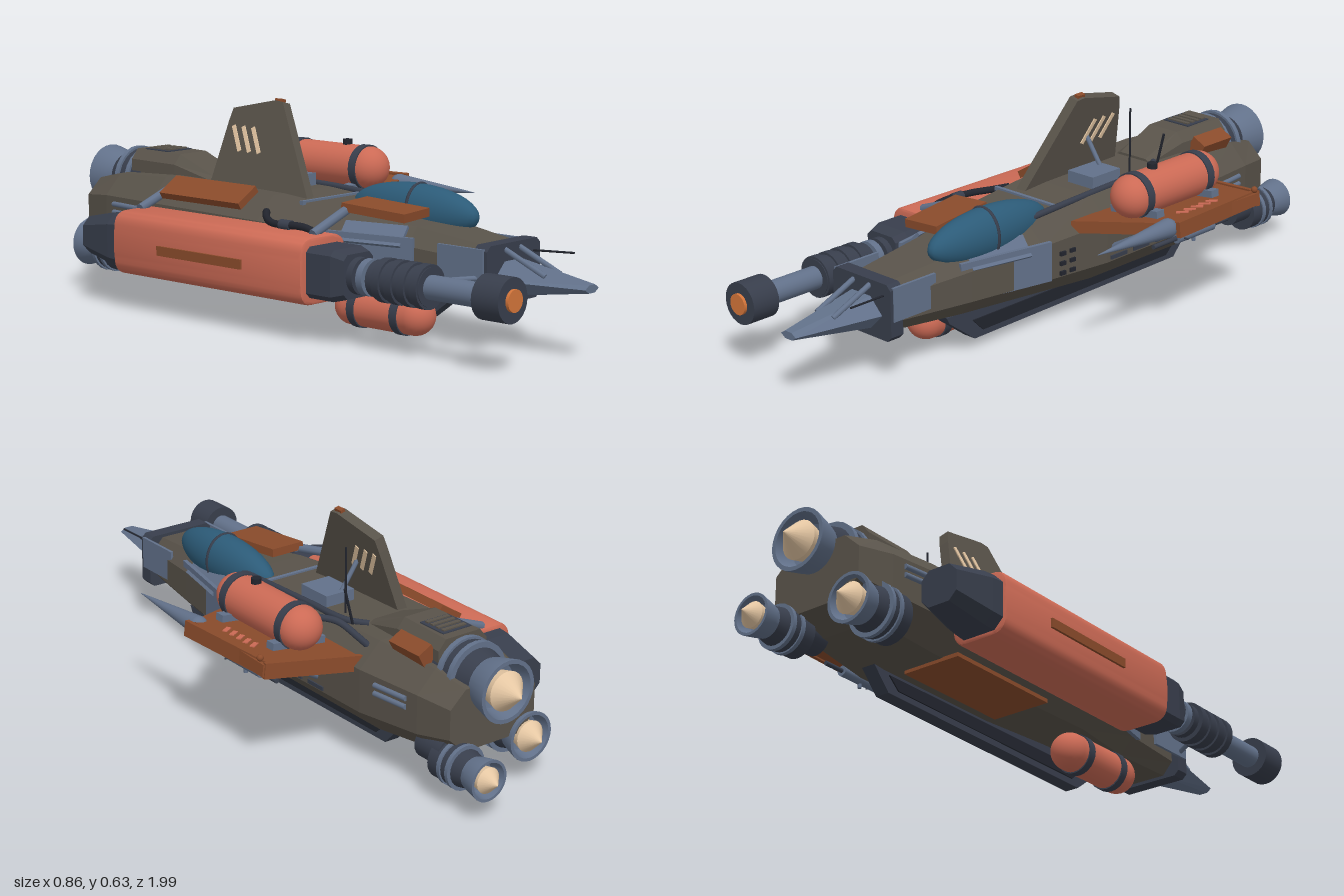
import * as THREE from 'three';
import { toCreasedNormals } from 'three/addons/utils/BufferGeometryUtils.js';

const paint = (name, color) => Object.assign(new THREE.MeshStandardMaterial({ color }), { name });
const olive = paint('olive grey hull', 0x59534a);
const rust = paint('rust brown', 0x8a4b2b);
const salmon = paint('salmon red', 0xcc6a55);
const steel = paint('blue steel', 0x62718a);
const dark = paint('dark slate', 0x383e4c);
const black = paint('near black', 0x22252e);
const glass = paint('canopy teal', 0x2c5b78);
const cream = paint('warm cream', 0xe6c8a4);
const orange = paint('muzzle orange', 0xd4753a);

const V = (p) => new THREE.Vector3(...p);

function add(parent, name, geo, mat, pos = [0, 0, 0], rot = [0, 0, 0]) {
  const m = new THREE.Mesh(geo, mat);
  m.name = name;
  m.position.set(...pos);
  m.rotation.set(...rot);
  parent.add(m);
  return m;
}
const box = (g, name, mat, size, pos, rot) => add(g, name, new THREE.BoxGeometry(...size), mat, pos, rot);

// Cylinder lying along z; rFront is the radius at the +z end
const drum = (g, name, mat, x, y, z0, z1, rFront, rBack = rFront, seg = 24) =>
  add(g, name, new THREE.CylinderGeometry(rFront, rBack, Math.abs(z0 - z1), seg).rotateX(Math.PI / 2),
    mat, [x, y, (z0 + z1) / 2]);

function rod(g, name, mat, a, b, r, seg = 8) {
  const d = V(b).sub(V(a));
  const m = add(g, name, new THREE.CylinderGeometry(r, r, d.length(), seg), mat, V(a).add(V(b)).multiplyScalar(0.5).toArray());
  m.quaternion.setFromUnitVectors(new THREE.Vector3(0, 1, 0), d.normalize());
}
const hose = (g, name, mat, pts, r) =>
  add(g, name, new THREE.TubeGeometry(new THREE.CatmullRomCurve3(pts.map(V)), 24, r, 8), mat);

// Chamfered rectangle section at z: half sizes, chamfer across (d) and down (c)
function oct(cx, cy, hw, hh, d, c, z) {
  return [[hw, c - hh], [hw, hh - c], [hw - d, hh], [d - hw, hh], [-hw, hh - c], [-hw, c - hh], [d - hw, -hh], [hw - d, -hh]]
    .map(([x, y]) => [cx + x, cy + y, z]);
}

// Flat faceted skin over sections ordered from front to back, capped at both ends
function loft(sections) {
  const pos = [], n = sections[0].length, tri = (...p) => p.forEach((q) => pos.push(...q));
  for (let i = 0; i < sections.length - 1; i++)
    for (let j = 0; j < n; j++) {
      const k = (j + 1) % n, s = sections[i], t = sections[i + 1];
      tri(s[j], t[j], t[k]);
      tri(s[j], t[k], s[k]);
    }
  const f = sections[0], b = sections[sections.length - 1];
  for (let j = 1; j < n - 1; j++) { tri(f[0], f[j], f[j + 1]); tri(b[0], b[j + 1], b[j]); }
  const geo = new THREE.BufferGeometry();
  geo.setAttribute('position', new THREE.Float32BufferAttribute(pos, 3));
  geo.computeVertexNormals();
  return geo;
}

const plate = (pts, depth) => new THREE.ExtrudeGeometry(new THREE.Shape(pts.map((p) => new THREE.Vector2(...p))), { depth, bevelEnabled: false });
// Plate from a (z, y) outline, thickness centred on x
const sidePlate = (pts, t) => plate(pts, t).translate(0, 0, -t / 2).rotateY(-Math.PI / 2);

function capsule(g, name, x, y, zFront, zBack, r, straps) {
  const len = zFront - zBack;
  add(g, name, new THREE.CapsuleGeometry(r, len - 2 * r, 10, 28).rotateX(Math.PI / 2), salmon, [x, y, (zFront + zBack) / 2]);
  for (const z of straps) drum(g, name + 'Strap', dark, x, y, z + 0.013, z - 0.013, r + 0.004);
}

// Collar, ring, flared bell and plug cone
function engine(parent, x, y, z, r, len) {
  const g = new THREE.Group();
  g.name = 'engine';
  g.position.set(x, y, z);
  parent.add(g);
  drum(g, 'engineCollar', dark, 0, 0, 0.03, -len * 0.35, r * 0.93);
  for (const k of [0.08, 0.3]) drum(g, 'engineBand', steel, 0, 0, -len * k, -len * (k + 0.08), r);
  drum(g, 'engineThroat', dark, 0, 0, -len * 0.35, -len * 0.6, r * 0.85, r * 0.72);
  const profile = [[0.68, 0.55], [0.78, 0.7], [0.92, 0.98], [0.92, 1], [0.8, 1], [0.66, 0.72], [0.01, 0.6]]
    .map(([a, b]) => new THREE.Vector2(a * r, b * len));
  const bell = new THREE.LatheGeometry(profile, 28).rotateX(-Math.PI / 2);
  add(g, 'engineBell', toCreasedNormals(bell, 0.6), bellMat);
  drum(g, 'exhaustPlug', cream, 0, 0, -len * 0.6, -len * 0.97, r * 0.4, r * 0.58);
  drum(g, 'exhaustTip', cream, 0, 0, -len * 0.97, -len * 0.97 - r * 0.6, r * 0.58, 0.001);
}
const bellMat = paint('bell steel', 0x62718a);
bellMat.side = THREE.DoubleSide;

export function createModel() {
  const g = new THREE.Group();
  g.name = 'spacecraft';

  // Main hull: [z, centre x, half width, bottom, top]
  const stations = [[0.71, -0.05, 0.095, 0.14, 0.285], [0.45, -0.04, 0.13, 0.125, 0.315], [0.2, -0.05, 0.18, 0.115, 0.34],
    [-0.05, -0.05, 0.2, 0.1, 0.36], [-0.5, -0.05, 0.2, 0.1, 0.37], [-0.72, -0.05, 0.175, 0.12, 0.36], [-0.83, -0.05, 0.15, 0.15, 0.335]];
  add(g, 'hull', loft(stations.map(([z, x, w, b, t]) => oct(x, (b + t) / 2, w, (t - b) / 2, w * 0.35, (t - b) * 0.26, z))), olive);
  add(g, 'engineHousing', loft([oct(-0.045, 0.36, 0.07, 0.015, 0.02, 0.01, -0.38), oct(-0.045, 0.37, 0.08, 0.06, 0.025, 0.03, -0.52),
    oct(-0.04, 0.36, 0.085, 0.072, 0.025, 0.03, -0.71)]), olive);
  box(g, 'housingHatch', dark, [0.1, 0.006, 0.1], [-0.045, 0.431, -0.63]);
  for (let i = 0; i < 4; i++) box(g, 'hatchLouvre', olive, [0.08, 0.008, 0.013], [-0.045, 0.434, -0.595 - i * 0.023]);

  // Nose bulkhead, wedge and braces
  add(g, 'noseBulkhead', loft([oct(-0.053, 0.213, 0.117, 0.084, 0.015, 0.015, 0.735), oct(-0.053, 0.213, 0.117, 0.084, 0.015, 0.015, 0.69)]), dark);
  const wedge = (w, h, z) => [[w, 0], [w * 0.45, h], [-w * 0.45, h], [-w, 0], [-w * 0.45, -h], [w * 0.45, -h]].map(([x, y]) => [x - 0.055, 0.2 + y, z]);
  add(g, 'noseWedge', loft([wedge(0.03, 0.011, 1), wedge(0.085, 0.048, 0.73)]), steel);
  for (const x of [-0.087, -0.022]) rod(g, 'noseBrace', steel, [x, 0.28, 0.73], [x, 0.22, 0.87], 0.008);
  rod(g, 'noseProbe', black, [0.035, 0.262, 0.73], [0.047, 0.268, 0.865], 0.003);
  for (const x of [-0.172, 0.062]) box(g, 'nosePlate', steel, [0.009, 0.1, 0.16], [x, 0.238, 0.645]);

  // Canopy
  add(g, 'canopy', new THREE.SphereGeometry(1, 32, 20).scale(0.064, 0.078, 0.23), glass, [0.023, 0.333, 0.318]);
  add(g, 'canopyFrame', new THREE.TorusGeometry(1, 0.06, 6, 32).scale(0.064, 0.078, 0.09), dark, [0.023, 0.333, 0.335]);

  // Hull side panels, vents and slats, mirrored about the hull centre
  for (const s of [1, -1]) {
    const X = (x) => -0.05 + s * x;
    box(g, 'cheekPanel', steel, [0.012, 0.12, 0.31], [X(0.153), 0.232, 0.325], [0, -s * 0.2, 0]);
    box(g, 'cheekPanelTop', steel, [0.01, 0.07, 0.2], [X(0.135), 0.29, 0.34], [0, -s * 0.2, s * 0.75]);
    for (let i = 0; i < 6; i++) box(g, 'ventSlot', black, [0.008, 0.012, 0.02], [X(0.191), 0.185 + (i % 3) * 0.03, i < 3 ? 0.09 : 0.13], [0, -s * 0.08, 0]);
    for (const y of [0.25, 0.275]) rod(g, 'sideSlat', steel, [X(0.196), y, -0.56], [X(0.182), y, -0.68], 0.008);
    for (let i = 0; i < 3; i++) box(g, 'sideSlot', dark, [0.008, 0.012, 0.07], [X(0.2), 0.18, -0.1 - i * 0.1]);
  }

  // Rust repair plates
  box(g, 'foredeckPlate', rust, [0.12, 0.025, 0.22], [-0.128, 0.352, 0.335], [0.06, 0.08, 0.03]);
  box(g, 'shoulderPlate', rust, [0.085, 0.022, 0.33], [-0.228, 0.352, -0.27], [0, 0, 0.55]);
  box(g, 'housingSidePlate', rust, [0.05, 0.05, 0.13], [0.06, 0.382, -0.62], [0, 0, -0.5]);
  box(g, 'bellyPlate', rust, [0.19, 0.012, 0.4], [-0.14, 0.096, -0.26]);

  // Dorsal fin, leaning inward
  const fin = new THREE.Group();
  fin.name = 'fin';
  fin.position.set(-0.118, 0.35, 0);
  fin.rotation.z = -0.25;
  g.add(fin);
  add(fin, 'finBlade', sidePlate([[0.04, 0], [-0.12, 0.272], [-0.15, 0.275], [-0.315, 0.24], [-0.325, 0.2], [-0.36, 0]], 0.032), olive);
  box(fin, 'finTipLight', rust, [0.015, 0.012, 0.03], [0, 0.276, -0.145]);
  for (const s of [1, -1]) for (let i = 0; i < 3; i++)
    box(fin, 'finStripe', cream, [0.004, 0.085, 0.014], [s * 0.017, 0.15, -0.2 - i * 0.04], [-0.5, 0, 0]);

  // Deck fittings: box, cross bar, hoses and aerials
  box(g, 'deckBox', steel, [0.1, 0.045, 0.12], [0, 0.375, -0.155]);
  box(g, 'deckBar', steel, [0.26, 0.012, 0.012], [-0.06, 0.35, 0.07]);
  hose(g, 'deckHose', dark, [[0.03, 0.37, -0.39], [0.068, 0.372, -0.34], [0.07, 0.365, -0.15], [0.07, 0.36, 0], [0.06, 0.345, 0.22]], 0.01);
  rod(g, 'tallAerial', black, [0.031, 0.36, -0.28], [0.031, 0.565, -0.28], 0.003);
  rod(g, 'shortAerial', black, [0.065, 0.36, -0.36], [0.096, 0.48, -0.36], 0.004);
  rod(g, 'aerialBrace', steel, [-0.075, 0.48, -0.2], [0.0, 0.37, -0.2], 0.007);

  // Wing with its tank, cone pod and underslung gun
  const wing = new THREE.Group();
  wing.name = 'wing';
  wing.position.set(0.12, 0.286, 0);
  wing.rotation.z = 0.115;
  g.add(wing);
  add(wing, 'wingSlab', plate([[0, -0.07], [0.285, 0.05], [0.305, 0.42], [0, 0.475]], 0.036).rotateX(-Math.PI / 2), rust);
  box(wing, 'wingTipRail', rust, [0.014, 0.046, 0.37], [0.295, 0.018, -0.235], [0, 0.054, 0]);
  box(wing, 'wingTrailingRail', rust, [0.3, 0.046, 0.014], [0.152, 0.018, -0.445], [0, -0.18, 0]);
  add(wing, 'wingTipLight', new THREE.SphereGeometry(0.01, 10, 8), rust, [0.303, 0.05, -0.4]);
  for (const z of [-0.325, -0.08]) box(wing, 'tankSaddle', steel, [0.18, 0.022, 0.032], [0.125, 0.046, z]);
  for (let i = 0; i < 5; i++) box(wing, 'wingStripe', salmon, [0.036, 0.004, 0.014], [0.237, 0.037, -0.15 - i * 0.033], [0, 0.6, 0]);
  capsule(g, 'wingTank', 0.242, 0.398, 0.01, -0.41, 0.065, [-0.065, -0.33]);
  add(g, 'tankValve', new THREE.CylinderGeometry(0.015, 0.015, 0.03, 14), black, [0.242, 0.463, -0.14]);
  hose(g, 'tankHose', dark, [[0.09, 0.34, -0.47], [0.115, 0.37, -0.45], [0.15, 0.41, -0.4], [0.19, 0.418, -0.35]], 0.01);
  drum(g, 'tipCone', steel, 0.381, 0.335, 0.245, -0.05, 0.001, 0.029);
  add(g, 'tipConeBack', new THREE.SphereGeometry(0.029, 20, 12), steel, [0.381, 0.335, -0.05]);
  for (const z of [-0.08, -0.3]) rod(g, 'wingStrut', steel, [0.14, 0.205, z], [0.335, 0.315, z], 0.011);
  drum(g, 'gunBody', steel, 0.337, 0.268, -0.14, -0.3, 0.016);
  drum(g, 'gunBarrel', dark, 0.337, 0.268, -0.04, -0.37, 0.007, 0.007, 12);
  rod(g, 'gunPost', steel, [0.337, 0.24, -0.22], [0.337, 0.325, -0.22], 0.006);
  rod(g, 'gunCrossbar', dark, [0.308, 0.268, -0.16], [0.366, 0.268, -0.16], 0.003);

  // Side nacelle: rounded body, tapered tail, front block
  const nx = -0.325, ny = 0.2, s = new THREE.Shape(), w = 0.092, h = 0.095, r = 0.05;
  s.moveTo(w, r - h).bezierCurveTo(w + 0.004, -0.02, w + 0.004, 0.02, w, h - r).quadraticCurveTo(w, h, w - r, h).lineTo(r - w, h)
    .quadraticCurveTo(-w, h, -w, h - r).bezierCurveTo(-w - 0.004, 0.02, -w - 0.004, -0.02, -w, r - h).quadraticCurveTo(-w, -h, r - w, -h)
    .lineTo(w - r, -h).quadraticCurveTo(w, -h, w, r - h);
  const body = new THREE.ExtrudeGeometry(s, { depth: 0.74, curveSegments: 8, bevelThickness: 0.01, bevelSize: 0.008, bevelOffset: -0.008, bevelSegments: 2 });
  add(g, 'nacelleBody', toCreasedNormals(body, 0.6), salmon, [nx, ny, -0.47]);
  add(g, 'nacelleTail', loft([oct(nx, ny, 0.083, 0.083, 0.03, 0.03, -0.47), oct(nx, ny, 0.08, 0.08, 0.03, 0.03, -0.52), oct(nx, ny, 0.06, 0.055, 0.025, 0.025, -0.65)]), dark);
  add(g, 'nacelleBlock', loft([oct(nx, ny, 0.06, 0.062, 0.015, 0.015, 0.41), oct(nx, ny, 0.071, 0.072, 0.015, 0.015, 0.37), oct(nx, ny, 0.071, 0.072, 0.015, 0.015, 0.27)]), dark);
  box(g, 'nacelleStripe', rust, [0.012, 0.028, 0.34], [nx - 0.096, ny, -0.115]);

  // Long cannon on the nacelle
  drum(g, 'cannonBarrel', steel, nx, ny, 0.87, 0.4, 0.034);
  for (const z of [0.42, 0.455, 0.49]) drum(g, 'cannonRing', z === 0.455 ? steel : dark, nx, ny, z + 0.011, z - 0.011, 0.052);
  drum(g, 'cannonJacket', dark, nx, ny, 0.67, 0.51, 0.055);
  for (const z of [0.52, 0.565, 0.61, 0.655]) drum(g, 'jacketRing', dark, nx, ny, z + 0.013, z - 0.013, 0.062);
  drum(g, 'muzzle', dark, nx, ny, 0.945, 0.855, 0.062);
  drum(g, 'muzzleCore', orange, nx, ny, 0.954, 0.93, 0.031);
  rod(g, 'cannonStay', steel, [-0.27, 0.203, 0.63], [-0.165, 0.207, 0.705], 0.008);

  // Nacelle mounts and hose
  for (const z of [0.24, -0.46]) {
    rod(g, 'nacelleMount', steel, [-0.325, 0.295, z], [-0.18, 0.35, z], 0.014);
    rod(g, 'nacelleLowerMount', steel, [-0.26, 0.2, z], [-0.18, 0.2, z], 0.014);
  }
  hose(g, 'nacelleHose', black, [[-0.305, 0.28, 0.26], [-0.305, 0.305, 0.2], [-0.305, 0.305, 0.07], [-0.27, 0.31, 0.01], [-0.23, 0.32, -0.03]], 0.011);
  drum(g, 'hoseJoint', dark, -0.305, 0.305, 0.14, 0.1, 0.016, 0.016, 12);

  // Keel and belly tank
  add(g, 'keel', sidePlate([[0.5, 0.125], [0.49, 0.105], [0.39, 0.03], [-0.48, 0.038], [-0.545, 0.108], [-0.53, 0.125]].reverse(), 0.045), dark, [0.017, 0, 0]);
  for (const x of [-0.007, 0.041]) add(g, 'keelPanel', sidePlate([[0.4, 0.09], [0.36, 0.05], [-0.44, 0.055], [-0.48, 0.09]].reverse(), 0.005), black, [x, 0, 0]);
  capsule(g, 'bellyTank', -0.113, 0.06, 0.495, 0.15, 0.057, [0.4, 0.24]);

  // Rear engines
  engine(g, -0.04, 0.33, -0.7, 0.1, 0.2);
  engine(g, -0.18, 0.135, -0.7, 0.08, 0.145);
  engine(g, 0.065, 0.118, -0.8, 0.066, 0.155);
  drum(g, 'engineMount', dark, 0.065, 0.14, -0.7, -0.8, 0.05);
  return g;
}
